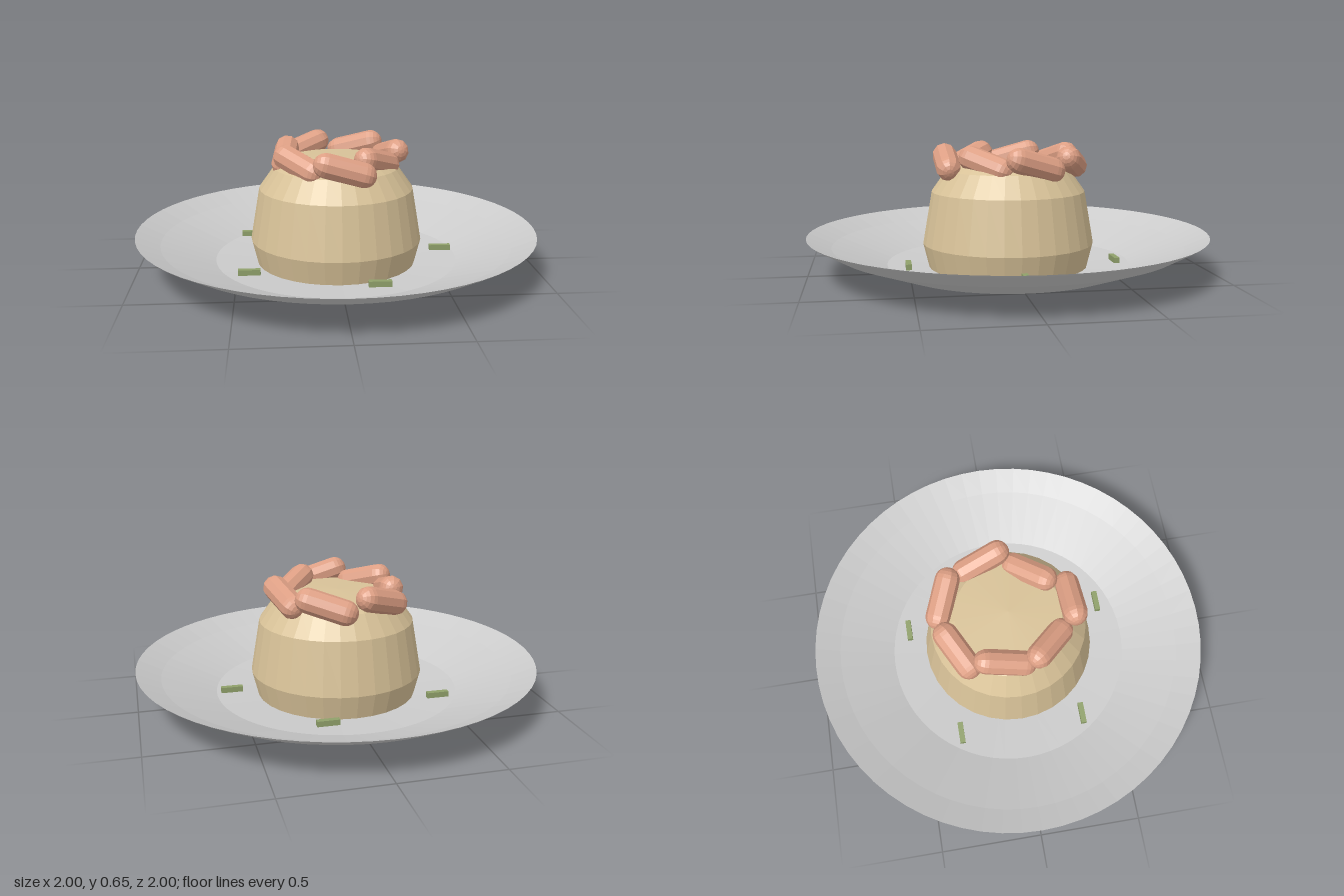
import * as THREE from 'three';

const material = (color, side = THREE.FrontSide) =>
  new THREE.MeshStandardMaterial({ color, flatShading: true, side });

const lathe = (profile, sides) =>
  new THREE.LatheGeometry(profile.map(([r, y]) => new THREE.Vector2(r, y)), sides);

function add(parent, name, geometry, mat) {
  const mesh = new THREE.Mesh(geometry, mat);
  mesh.name = name;
  parent.add(mesh);
  return mesh;
}

export function createModel() {
  const model = new THREE.Group();
  model.name = 'platedDish';

  // Plate: foot, underside, rim, then the inside down to the floor
  const plateProfile = [
    [0, 0], [0.3, 0], [0.31, 0.015], [0.58, 0.02], [0.86, 0.12], [0.99, 0.192],
    [1, 0.2], [0.88, 0.146], [0.61, 0.047], [0.4, 0.03], [0, 0.03],
  ];
  add(model, 'plate', lathe(plateProfile, 64), material(0xcccccc, THREE.DoubleSide));

  // Moulded mound with a tapered foot and rounded shoulder
  const moundProfile = [
    [0, 0.028], [0.4, 0.028], [0.43, 0.15], [0.385, 0.41], [0.31, 0.515], [0.26, 0.55], [0, 0.56],
  ];
  add(model, 'mound', lathe(moundProfile, 32), material(0xd8c298));

  // Ring of sausages: centre x, z, then the heading of the raised end
  const sausages = new THREE.Group();
  sausages.name = 'sausageRing';
  model.add(sausages);
  const sausageGeometry = new THREE.CapsuleGeometry(0.061, 0.185, 5, 10);
  const sausageMaterial = material(0xdd9f84);
  const up = new THREE.Vector3(0, 1, 0);
  const tilt = Math.tan(THREE.MathUtils.degToRad(16));
  [
    [0.02, 0.31, -1, 0.03],
    [-0.19, 0.17, -0.7, -0.72],
    [-0.25, -0.055, 0.12, -1],
    [-0.155, -0.27, 0.88, -0.48],
    [0.12, -0.3, 0.92, 0.4],
    [0.28, -0.09, 0.28, 0.96],
    [0.19, 0.135, -0.66, 0.75],
  ].forEach(([x, z, dx, dz], i) => {
    const sausage = add(sausages, `sausage${i + 1}`, sausageGeometry, sausageMaterial);
    const heading = new THREE.Vector3(dx, 0, dz).normalize().setY(tilt).normalize();
    sausage.position.set(x, 0.56, z);
    sausage.quaternion.setFromUnitVectors(up, heading);
  });

  // Five garnish sticks spaced around the mound, all lying along x
  const garnish = new THREE.Group();
  garnish.name = 'garnish';
  model.add(garnish);
  const stickGeometry = new THREE.BoxGeometry(0.107, 0.027, 0.027);
  const stickMaterial = material(0x8fa06a);
  for (let i = 0; i < 5; i++) {
    const a = (i / 5) * Math.PI * 2;
    const stick = add(garnish, `garnishStick${i + 1}`, stickGeometry, stickMaterial);
    stick.position.set(0.537 * Math.cos(a), 0.077, 0.537 * Math.sin(a));
  }

  return model;
}
